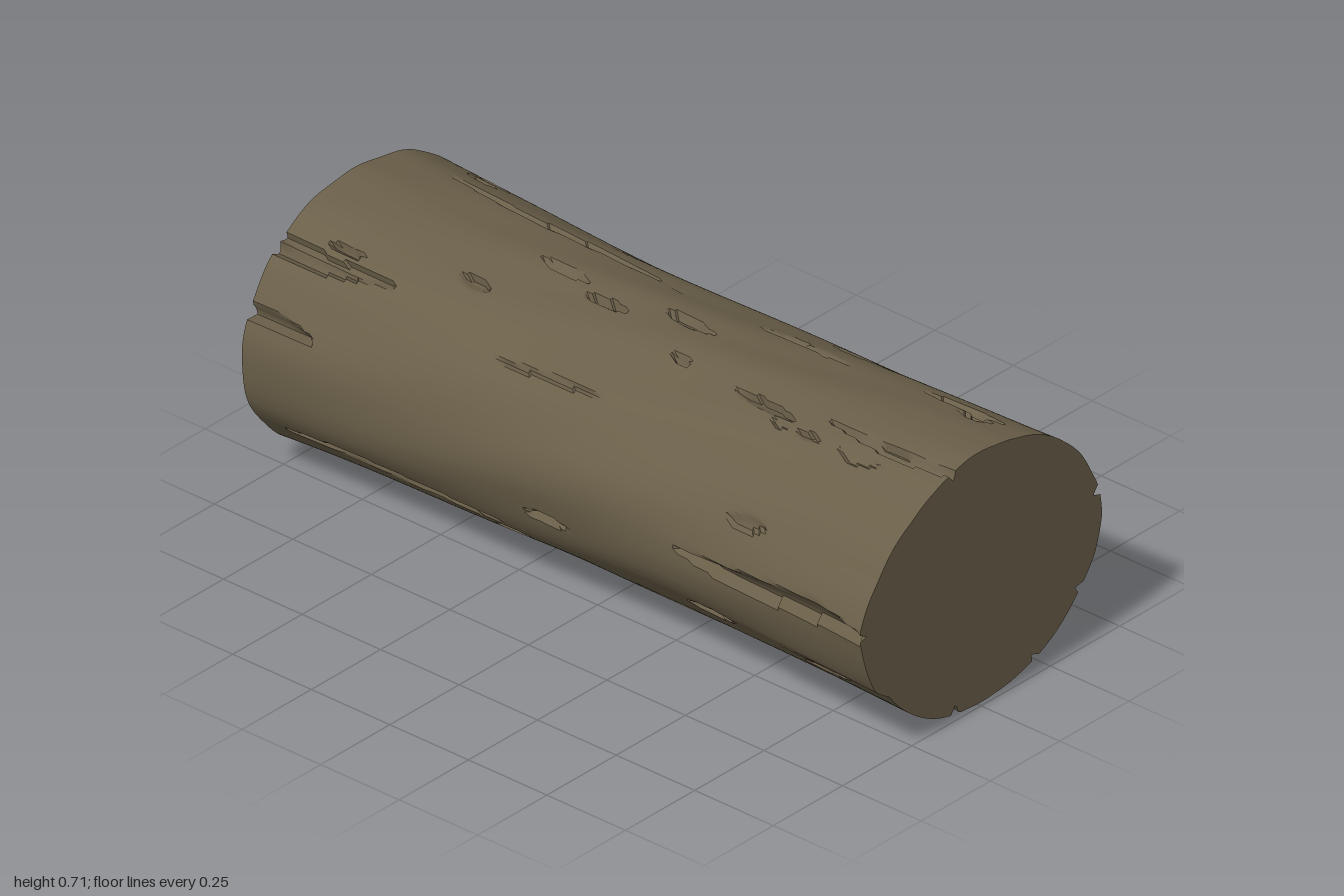
import * as THREE from 'three';
import { toCreasedNormals } from 'three/addons/utils/BufferGeometryUtils.js';

const CY = 0.355, TAU = Math.PI * 2;
const NX = 120, NT = 260;

// sawn outline of the right end as [z, y], running front, top, back, bottom
const RIGHT_END = [
  [0.44, 0.385], [0.41, 0.455], [0.37, 0.51], [0.31, 0.58], [0.25, 0.62], [0.17, 0.665],
  [0.1, 0.69], [0.04, 0.705], [-0.05, 0.7], [-0.13, 0.685], [-0.22, 0.655], [-0.3, 0.6],
  [-0.36, 0.54], [-0.4, 0.47], [-0.425, 0.42], [-0.437, 0.34], [-0.41, 0.24], [-0.35, 0.16],
  [-0.24, 0.067], [-0.15, 0.032], [-0.05, 0.014], [0.05, 0.014], [0.16, 0.035], [0.26, 0.095],
  [0.33, 0.17], [0.38, 0.205], [0.41, 0.27], [0.43, 0.34],
].map(([z, y]) => [(Math.atan2(y - CY, z) + TAU) % TAU, Math.hypot(y - CY, z)])
  .sort((a, b) => a[0] - b[0]);

function rightRadius(t) {
  const n = RIGHT_END.length;
  let i = RIGHT_END.findIndex(p => p[0] > t);
  if (i < 0) i = 0;
  const [a0, r0] = RIGHT_END[(i + n - 1) % n], [a1, r1] = RIGHT_END[i];
  const span = (a1 - a0 + TAU) % TAU;
  return THREE.MathUtils.lerp(r0, r1, ((t - a0 + TAU) % TAU) / span);
}

// oval made of four quarter ellipses
function oval(t, front, back, top, bottom) {
  const c = Math.cos(t), s = Math.sin(t);
  return 1 / Math.hypot(c / (c > 0 ? front : back), s / (s > 0 ? top : bottom));
}

function seeded(seed) {
  return () => (seed = (seed * 16807) % 2147483647) / 2147483647;
}

// bark splits: [x start, x end, angle, angular width, depth]
const splits = [
  [0.33, 1.1, 0.04, 0.13, 0.04], [-0.98, -0.2, -0.52, 0.09, 0.022], [-1.1, -0.78, 0.3, 0.1, 0.035],
  [-1.1, -0.6, 0.83, 0.08, 0.018], [-0.32, 0.05, 0.7, 0.05, 0.012], [-0.95, -0.05, 2.07, 0.06, 0.012],
  [0.1, 0.5, 2.05, 0.06, 0.012], [0.65, 0.93, 2.1, 0.09, 0.02], [0.57, 1.1, 1.28, 0.1, 0.022],
  [0.32, 0.54, 1.18, 0.09, 0.02], [-1.1, -0.7, 0.78, 0.1, 0.025], [0.4, 1.1, 3.02, 0.16, 0.03],
  [-1.1, -0.3, 3.2, 0.12, 0.03], [0.3, 1.1, 3.62, 0.12, 0.028], [-0.7, 0.2, 3.5, 0.1, 0.022],
  [0.25, 1.1, 4.12, 0.16, 0.03], [-1.1, -0.35, 4.3, 0.12, 0.028], [0.5, 1.1, 5.0, 0.12, 0.024],
  [-0.6, 0.1, 4.85, 0.1, 0.02], [-1.1, -0.5, 5.3, 0.1, 0.022], [0.1, 0.7, 5.55, 0.08, 0.018],
];
const rand = seeded(4217);
for (let i = 0; i < 42; i++) {
  const x = -0.95 + 1.85 * rand();
  splits.push([x, x + 0.05 + 0.13 * rand(), TAU * rand(), 0.06 + 0.07 * rand(), 0.012 + 0.016 * rand()]);
}

// depth of the splits: a steep lip on one side, a ramp on the other
function carve(x, t) {
  let depth = 0;
  splits.forEach(([x0, x1, angle, width, d], i) => {
    if (x <= x0 || x >= x1) return;
    const v = (x - x0) / (x1 - x0);
    const w = width * Math.min(1, 3 * v, 3 * (1 - v));
    const drift = 0.025 * Math.sin(x * 9 + i * 2);
    let u = (((t - angle - drift + Math.PI) % TAU + TAU) % TAU - Math.PI) / w + 0.5;
    if (u <= 0 || u >= 1) return;
    if (i % 2) u = 1 - u;
    depth = Math.max(depth, d * (1 - u * u) * Math.min(1, 6 * v, 6 * (1 - v)));
  });
  return depth;
}

function radius(x, t) {
  const middle = oval(t, 0.387, 0.416, 0.322, 0.324);
  const end = x > 0 ? rightRadius(t) : oval(t, 0.4, 0.438, 0.355, 0.355)
    + 0.004 * Math.sin(9 * t + 1) * Math.sin(4 * t);
  const flare = Math.pow(Math.abs(x), 1.9);
  const ripple = (0.003 * Math.sin(5 * t + 4 * x) + 0.0025 * Math.sin(11 * t - 7 * x)) * (1 - flare);
  return THREE.MathUtils.lerp(middle, end, flare) + ripple - carve(x, t);
}

// bark skin from rings of radius(x, angle)
function barkGeometry() {
  const pos = [], index = [];
  for (let i = 0; i <= NX; i++) {
    const x = -1 + 2 * i / NX;
    for (let j = 0; j < NT; j++) {
      const t = TAU * j / NT, r = radius(x, t);
      pos.push(x, Math.max(0, CY + r * Math.sin(t)), r * Math.cos(t));
    }
  }
  for (let i = 0; i < NX; i++) for (let j = 0; j < NT; j++) {
    const a = i * NT + j, b = i * NT + (j + 1) % NT;
    index.push(a, a + NT, b, b, a + NT, b + NT);
  }
  return build(pos, index);
}

// flat sawn face closing one end
function endGeometry(side) {
  const pos = [side, CY, 0], index = [];
  for (let j = 0; j < NT; j++) {
    const t = TAU * j / NT, r = radius(side, t);
    pos.push(side, Math.max(0, CY + r * Math.sin(t)), r * Math.cos(t));
    const a = 1 + j, b = 1 + (j + 1) % NT;
    if (side > 0) index.push(0, b, a); else index.push(0, a, b);
  }
  return build(pos, index);
}

function build(pos, index) {
  const g = new THREE.BufferGeometry();
  g.setAttribute('position', new THREE.Float32BufferAttribute(pos, 3));
  g.setIndex(index);
  return toCreasedNormals(g, 0.6);
}

export function createModel() {
  const model = new THREE.Group();
  model.name = 'log';
  const wood = new THREE.MeshStandardMaterial({ color: 0x6a5f49 });
  wood.name = 'brown wood';
  const add = (name, geometry) => {
    const mesh = new THREE.Mesh(geometry, wood);
    mesh.name = name;
    model.add(mesh);
  };
  add('bark', barkGeometry());
  add('leftSawnEnd', endGeometry(1));
  add('rightSawnEnd', endGeometry(-1));
  return model;
}
